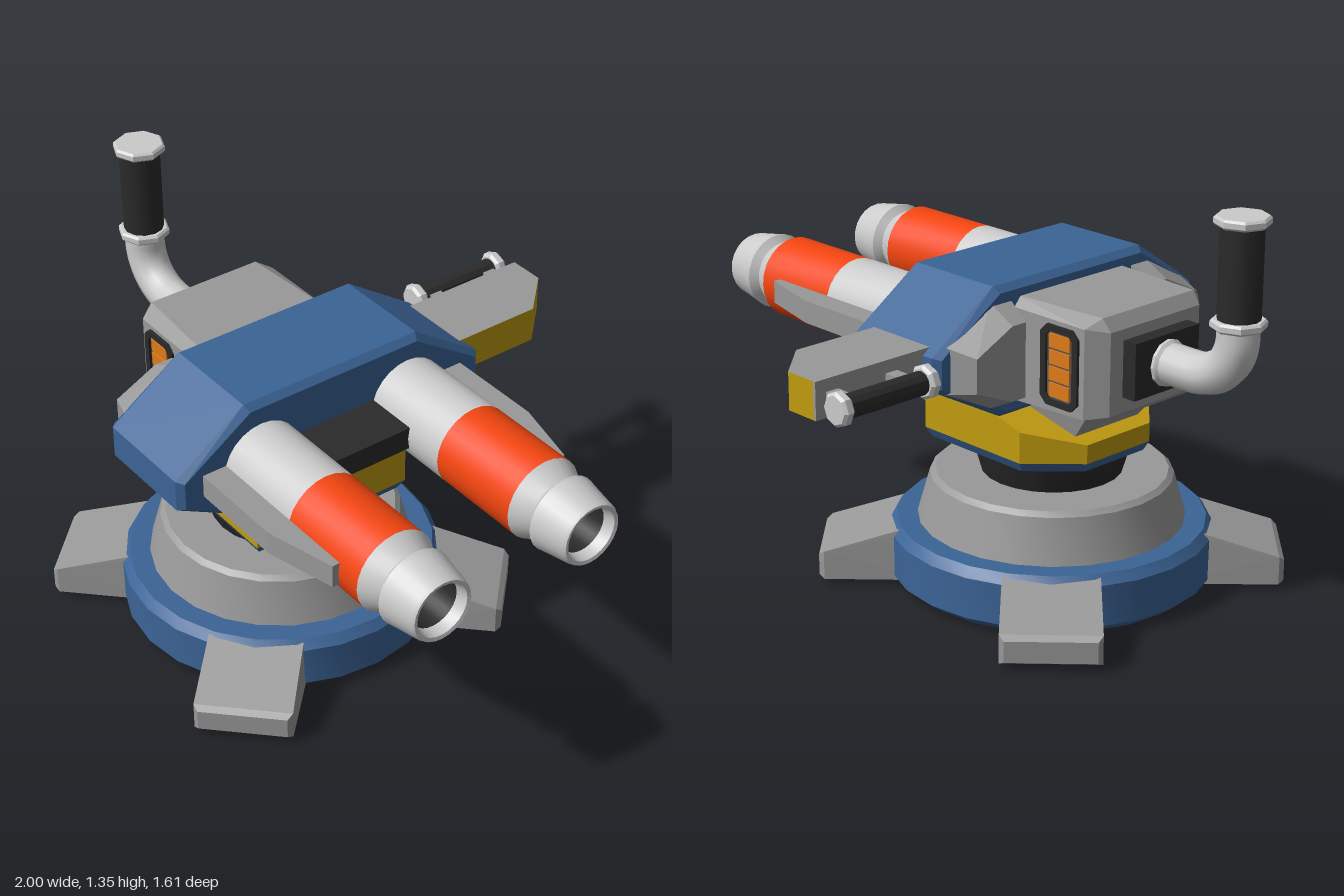
import * as THREE from 'three';
import { toCreasedNormals } from 'three/addons/utils/BufferGeometryUtils.js';
import { ConvexGeometry } from 'three/addons/geometries/ConvexGeometry.js';

const mat = (color) => new THREE.MeshStandardMaterial({ color });
const light = mat(0xcccccc), grey = mat(0x999999), blue = mat(0x3b6496);
const yellow = mat(0xc09c10), orange = mat(0xf2450f), dark = mat(0x2a2a2a), amber = mat(0xe07a18);
const V = (x, y, z) => new THREE.Vector3(x, y, z);

export function createModel() {
  const root = new THREE.Group();
  root.name = 'twinBarrelTurret';
  root.position.z = 0.177; // everything below is symmetric about local z = 0
  const CX = -0.165, AXIS = 0.835;

  const add = (name, geo, material, x = 0, y = 0, z = 0, parent = root) => {
    const m = new THREE.Mesh(geo, material);
    m.name = name;
    m.position.set(x, y, z);
    parent.add(m);
    return m;
  };
  const box = (name, material, w, h, d, x, y, z) => add(name, new THREE.BoxGeometry(w, h, d), material, x, y, z);
  const lathe = (pts, seg = 24) =>
    toCreasedNormals(new THREE.LatheGeometry(pts.map(([r, y]) => new THREE.Vector2(r, y)), seg), 0.5);
  const latheX = (pts, seg) => lathe(pts, seg).rotateZ(-Math.PI / 2);
  const latheZ = (pts, seg) => lathe(pts, seg).rotateX(Math.PI / 2);
  const hull = (pts) => new ConvexGeometry(pts.map((p) => V(...p)));
  const mirrorZ = (pts) => pts.flatMap(([x, y, z]) => [[x, y, z], [x, y, -z]]);

  // Base ring, dome and neck
  add('baseRing', lathe([[0.42, 0.05], [0.43, 0], [0.48, 0], [0.525, 0.035], [0.525, 0.17], [0.5, 0.2], [0.3, 0.2]]), blue, CX);
  add('baseDome', lathe([[0.435, 0.19], [0.392, 0.345], [0.375, 0.36], [0, 0.36]]), grey, CX);
  add('neck', lathe([[0.22, 0.34], [0.228, 0.36], [0.258, 0.46], [0, 0.46]]), dark, CX);
  add('undersideRim', lathe([[0.36, 0.025], [0.425, 0.025]].reverse()), dark, CX);
  add('undersideDisc', lathe([[0, 0.02], [0.39, 0.02], [0.39, 0.05]]), grey, CX);
  box('undersideSeam', dark, 0.78, 0.01, 0.012, CX, 0.018, 0);

  // Four diagonal feet with sloping tops
  const foot = hull(mirrorZ([
    [0.38, 0.02, 0.155], [0.38, 0.2, 0.15], [0.46, 0.198, 0.15],
    [0.725, 0.02, 0.155], [0.742, 0.03, 0.14], [0.742, 0.1, 0.14], [0.725, 0.115, 0.155],
  ]));
  for (let i = 0; i < 4; i++) add('foot', foot, grey, CX).rotation.y = Math.PI / 4 + (i * Math.PI) / 2;

  // Turntable under the body
  const plan = [[0.12, 0.288, 0.62], [-0.2, 0.288, 0.62], [-0.31, 0.288, 0.59], [-0.455, 0.14, 0.55]];
  add('turntable', hull(mirrorZ(plan.flatMap(([x, z, top]) => [[x, 0.488, z], [x, top, z]]))), yellow);
  add('turntableTrim', hull(mirrorZ(plan.flatMap(([x, z]) =>
    [[x, 0.488, z], [CX + (x - CX) * 0.94, 0.456, z * 0.94]]))), blue);

  // Wide faceted yoke with bevelled ends
  const yokeSection = (x, d) => [[x, 1.045 - d, 0.32 - d / 2], [x, 0.875 - d / 3, 0.568 - d],
    [x, 0.77 + d / 3, 0.568 - d], [x, 0.62 + d, 0.29 - d / 2]];
  add('yoke', hull(mirrorZ([
    ...yokeSection(-0.245, 0.02), ...yokeSection(-0.222, 0), ...yokeSection(0.118, 0), ...yokeSection(0.14, 0.02),
  ])), blue);

  // Rear housing, its support wedge and the shoulder blocks
  add('rearHousing', hull(mirrorZ([
    [-0.22, 0.67, 0.25], [-0.22, 1.0, 0.225], [-0.22, 0.97, 0.25],
    [-0.54, 0.685, 0.25], [-0.54, 0.97, 0.25], [-0.565, 0.67, 0.2], [-0.565, 1.0, 0.2],
    [-0.595, 0.695, 0.195], [-0.595, 0.96, 0.195],
  ])), grey);
  add('housingSupport', hull(mirrorZ([
    [-0.5, 0.69, 0.17], [-0.4, 0.56, 0.14], [-0.22, 0.56, 0.14], [-0.22, 0.69, 0.17],
  ])), grey);
  for (const s of [-1, 1]) {
    add('shoulderBlock', hull([
      [-0.23, 1.0, 0.26], [-0.23, 0.66, 0.26], [-0.23, 0.9, 0.52], [-0.23, 0.75, 0.52], [-0.23, 1.0, 0.34], [-0.23, 0.66, 0.34],
      [-0.33, 0.95, 0.285], [-0.33, 0.71, 0.285], [-0.33, 0.88, 0.485], [-0.33, 0.77, 0.485], [-0.33, 0.95, 0.34], [-0.33, 0.71, 0.34],
    ].map(([x, y, z]) => [x, y, z * s])), grey);
  }

  // Side vents: chamfered frame, recessed panel and glowing slats
  const chamferRect = (Shape, w, h, c) => new Shape([
    [-w + c, -h], [w - c, -h], [w, -h + c], [w, h - c], [w - c, h], [-w + c, h], [-w, h - c], [-w, -h + c],
  ].map(([x, y]) => new THREE.Vector2(x, y)));
  const frame = chamferRect(THREE.Shape, 0.077, 0.128, 0.025);
  frame.holes.push(chamferRect(THREE.Path, 0.055, 0.108, 0.015));
  const frameGeo = new THREE.ExtrudeGeometry(frame, { depth: 0.02, bevelEnabled: false });
  for (const s of [-1, 1]) {
    const vent = new THREE.Group();
    vent.name = 'sideVent';
    vent.position.set(-0.443, 0.828, s * 0.24);
    if (s < 0) vent.rotation.y = Math.PI;
    root.add(vent);
    add('ventFrame', frameGeo, dark, 0, 0, 0, vent);
    add('ventPanel', new THREE.BoxGeometry(0.11, 0.216, 0.01), mat(0x555555), 0, 0, 0.006, vent);
    for (let i = 0; i < 4; i++) {
      add('ventSlat', new THREE.BoxGeometry(0.085, 0.044, 0.012), amber, 0, (i - 1.5) * 0.052, 0.011, vent);
    }
  }

  // Twin barrels along +x, each with an outer fin
  const finShape = new THREE.Shape([[0.1, 0], [0.7, 0], [0.7, 0.155], [0.47, 0.212], [0.1, 0.212]]
    .map(([x, z]) => new THREE.Vector2(x, z)));
  const finGeo = new THREE.ExtrudeGeometry(finShape, { depth: 0.075, bevelEnabled: false })
    .rotateX(Math.PI / 2).translate(0, 0.0375, 0);
  for (const s of [-1, 1]) {
    const barrel = new THREE.Group();
    barrel.name = 'barrel';
    barrel.position.set(0, AXIS, s * 0.273);
    root.add(barrel);
    add('barrelTube', latheX([[0.135, 0.1], [0.135, 0.46]]), light, 0, 0, 0, barrel);
    add('barrelBand', latheX([[0.135, 0.46], [0.135, 0.785]]), orange, 0, 0, 0, barrel);
    add('muzzle', latheX([[0.135, 0.785], [0.102, 0.85], [0.108, 0.856], [0.126, 0.872],
      [0.122, 0.89], [0.105, 0.99], [0.1, 1.0], [0.088, 0.997], [0.08, 0.96]]), light, 0, 0, 0, barrel);
    add('bore', latheX([[0.08, 0.96], [0.08, 0.72], [0, 0.72]]), dark, 0, 0, 0, barrel);
    const fin = add('barrelFin', finGeo, grey, 0, 0, 0, barrel);
    if (s < 0) fin.rotation.x = Math.PI;
  }
  box('barrelBridge', dark, 0.24, 0.075, 0.31, 0.2, AXIS + 0.002, 0);

  // Rear elbow pipe and upright grip
  box('pipeMount', dark, 0.06, 0.18, 0.28, -0.615, AXIS, 0);
  add('pipeCollar', latheX([[0, -0.668], [0.062, -0.668], [0.074, -0.655], [0.074, -0.6]], 12), light, 0, AXIS, 0);
  const path = new THREE.CurvePath();
  const corner = [V(-0.75, AXIS, 0), V(-0.85, AXIS, 0), V(-0.915, 0.9, 0), V(-0.915, 0.985, 0)];
  path.add(new THREE.LineCurve3(V(-0.62, AXIS, 0), corner[0]));
  path.add(new THREE.CubicBezierCurve3(...corner));
  path.add(new THREE.LineCurve3(corner[3], V(-0.915, 1.03, 0)));
  add('elbowPipe', new THREE.TubeGeometry(path, 28, 0.065, 12), light);
  const flange = lathe([[0, -0.015], [0.078, -0.015], [0.085, -0.008], [0.085, 0.008], [0.078, 0.015], [0, 0.015]], 8);
  add('gripFlange', flange, light, -0.915, 1.025, 0);
  add('gripCap', flange, light, -0.915, 1.335, 0);
  add('grip', new THREE.CylinderGeometry(0.066, 0.066, 0.3, 12), dark, -0.915, 1.18, 0);

  // Side arm reaching out at -z, with a small carrying handle
  const armShape = new THREE.Shape([[-0.175, 0.5], [0.07, 0.5], [0.07, 0.845], [-0.06, 0.98], [-0.175, 0.98]]
    .map(([x, d]) => new THREE.Vector2(x, d)));
  const armGeo = new THREE.ExtrudeGeometry(armShape, { depth: 0.12, bevelEnabled: false })
    .rotateX(-Math.PI / 2).translate(0, AXIS - 0.06, 0);
  add('sideArm', armGeo, [grey, yellow]);
  box('armBackPlate', grey, 0.01, 0.12, 0.48, -0.177, AXIS, -0.74);
  add('handleGrip', latheZ([[0.037, -0.96], [0.037, -0.65]], 12), dark, -0.273, AXIS, 0);
  const knob = latheZ([[0, -0.019], [0.045, -0.019], [0.054, -0.01], [0.054, 0.01], [0.045, 0.019], [0, 0.019]], 8);
  for (const z of [-0.968, -0.637]) add('handleKnob', knob, light, -0.273, AXIS, z);
  for (const z of [-0.918, -0.692]) box('handleBracket', grey, 0.1, 0.04, 0.045, -0.22, AXIS, z);

  return root;
}
